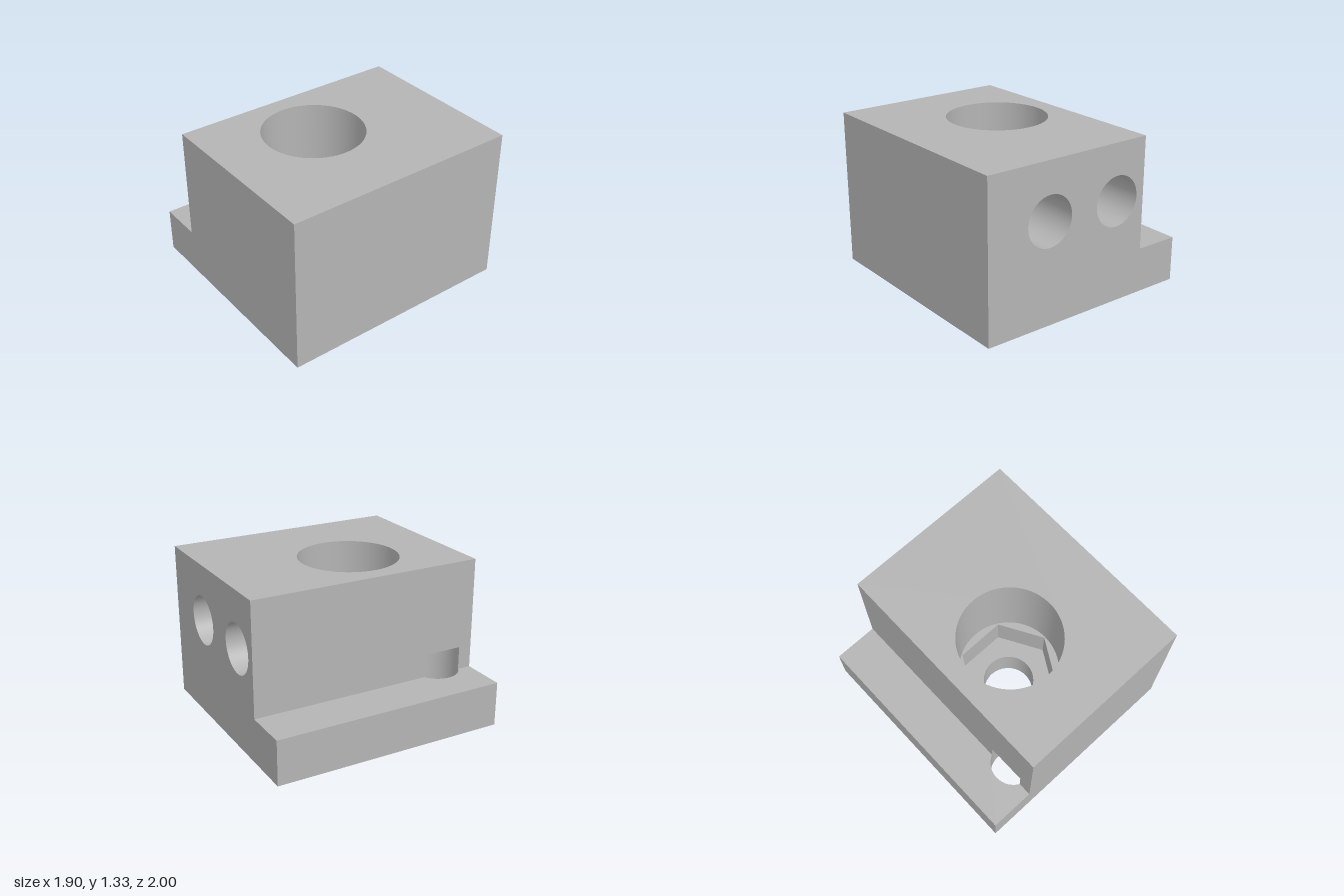
import * as THREE from 'three';

const W = 0.952, D = 1, H = 1.333;          // half width, half depth, height
const STEP_X = -0.571, STEP_Y = 0.381;      // ledge along the right side
const BORE = { x: 0, z: 0.14, r: 0.42, floor: 0.6 };
const HEX = { r: 0.41, floor: 0.3 };
const THROUGH_R = 0.215;
const PIN = { x: -0.485, z: 0.715, r: 0.19, top: 0.58 };
const BACK = { xs: [0.38, -0.29], y: 0.855, r: 0.21, depth: 0.67 };

const circle = (x, y, r, S = THREE.Shape) => new S().absarc(x, y, r, 0, Math.PI * 2, false);
const poly = (pts) => new THREE.Shape(pts.map(([x, y]) => new THREE.Vector2(x, y)));
const rect = (x0, y0, x1, y1) => poly([[x0, y0], [x1, y0], [x1, y1], [x0, y1]]);
const hexPoints = () => Array.from({ length: 6 }, (_, i) => {
  const a = i * Math.PI / 3;
  return [BORE.x + HEX.r * Math.cos(a), BORE.z + HEX.r * Math.sin(a)];
});

export function createModel() {
  const group = new THREE.Group();
  const grey = new THREE.MeshStandardMaterial({ color: 0xb4b4b4, side: THREE.DoubleSide });
  grey.name = 'grey';

  const add = (name, geometry) => {
    const mesh = new THREE.Mesh(geometry, grey);
    mesh.name = name;
    group.add(mesh);
  };
  const flat = (shape, ...holes) => {
    shape.holes.push(...holes);
    return new THREE.ShapeGeometry(shape, 32);
  };
  // Shape drawn in x,z and laid level at height y
  const level = (name, y, shape, ...holes) =>
    add(name, flat(shape, ...holes).rotateX(Math.PI / 2).translate(0, y, 0));
  // Shape drawn in x,y and stood up at depth z
  const upright = (name, z, shape, ...holes) => add(name, flat(shape, ...holes).translate(0, 0, z));
  // Shape drawn in z,y and stood up at x
  const sideways = (name, x, shape) => add(name, flat(shape).rotateY(-Math.PI / 2).translate(x, 0, 0));
  // Vertical cylinder wall between two heights
  const shaft = (name, x, z, r, y0, y1, start = 0, length = Math.PI * 2) =>
    add(name, new THREE.CylinderGeometry(r, r, y1 - y0, 64, 1, true, start, length)
      .translate(x, (y0 + y1) / 2, z));

  // Front and back share the stepped outline
  const outline = () => poly([[-W, 0], [W, 0], [W, H], [STEP_X, H], [STEP_X, STEP_Y], [-W, STEP_Y]]);
  upright('frontFace', D, outline());
  upright('backFace', -D, outline(), ...BACK.xs.map((x) => circle(x, BACK.y, BACK.r, THREE.Path)));

  // Side walls; the inner one is notched by the pin hole
  const offset = STEP_X - PIN.x;
  const chord = Math.sqrt(PIN.r ** 2 - offset ** 2);
  const [z0, z1] = [PIN.z - chord, PIN.z + chord];
  sideways('leftWall', W, rect(-D, 0, D, H));
  sideways('ledgeWall', -W, rect(-D, 0, D, STEP_Y));
  sideways('stepWall', STEP_X, poly([[-D, STEP_Y], [z0, STEP_Y], [z0, PIN.top], [z1, PIN.top],
    [z1, STEP_Y], [D, STEP_Y], [D, H], [-D, H]]));

  // Base and top
  level('base', 0, rect(-W, -D, W, D),
    circle(BORE.x, BORE.z, THROUGH_R, THREE.Path), circle(PIN.x, PIN.z, PIN.r, THREE.Path));
  level('top', H, rect(STEP_X, -D, W, D), circle(BORE.x, BORE.z, BORE.r, THREE.Path));

  // Ledge with the exposed part of the pin hole
  const bite = Math.acos(offset / PIN.r);
  const ledge = new THREE.Shape();
  ledge.moveTo(-W, -D);
  ledge.lineTo(STEP_X, -D);
  ledge.lineTo(STEP_X, z0);
  ledge.absarc(PIN.x, PIN.z, PIN.r, -bite, bite, true);
  ledge.lineTo(STEP_X, D);
  ledge.lineTo(-W, D);
  level('ledge', STEP_Y, ledge);

  // Pin hole: full below the ledge, open to the step wall above it
  const tilt = Math.asin(-offset / PIN.r);
  shaft('pinHole', PIN.x, PIN.z, PIN.r, 0, STEP_Y);
  shaft('pinHoleUpper', PIN.x, PIN.z, PIN.r, STEP_Y, PIN.top, -tilt, Math.PI + 2 * tilt);
  level('pinHoleCeiling', PIN.top, new THREE.Shape().absarc(PIN.x, PIN.z, PIN.r, -bite, bite, false));

  // Counterbore, hexagonal nut pocket and through hole
  shaft('counterbore', BORE.x, BORE.z, BORE.r, BORE.floor, H);
  level('counterboreFloor', BORE.floor, circle(BORE.x, BORE.z, BORE.r),
    new THREE.Path(hexPoints().map(([x, z]) => new THREE.Vector2(x, z))));
  const pocket = new THREE.CylinderGeometry(HEX.r, HEX.r, BORE.floor - HEX.floor, 6, 1, true, Math.PI / 2)
    .translate(BORE.x, (BORE.floor + HEX.floor) / 2, BORE.z).toNonIndexed();
  pocket.computeVertexNormals();
  add('nutPocket', pocket);
  level('nutPocketFloor', HEX.floor, poly(hexPoints()), circle(BORE.x, BORE.z, THROUGH_R, THREE.Path));
  shaft('throughHole', BORE.x, BORE.z, THROUGH_R, 0, HEX.floor);

  // Blind holes in the back
  for (const x of BACK.xs) {
    add('backHole', new THREE.CylinderGeometry(BACK.r, BACK.r, BACK.depth, 64, 1, true)
      .rotateX(Math.PI / 2).translate(x, BACK.y, -D + BACK.depth / 2));
    upright('backHoleEnd', -D + BACK.depth, circle(x, BACK.y, BACK.r));
  }
  return group;
}
